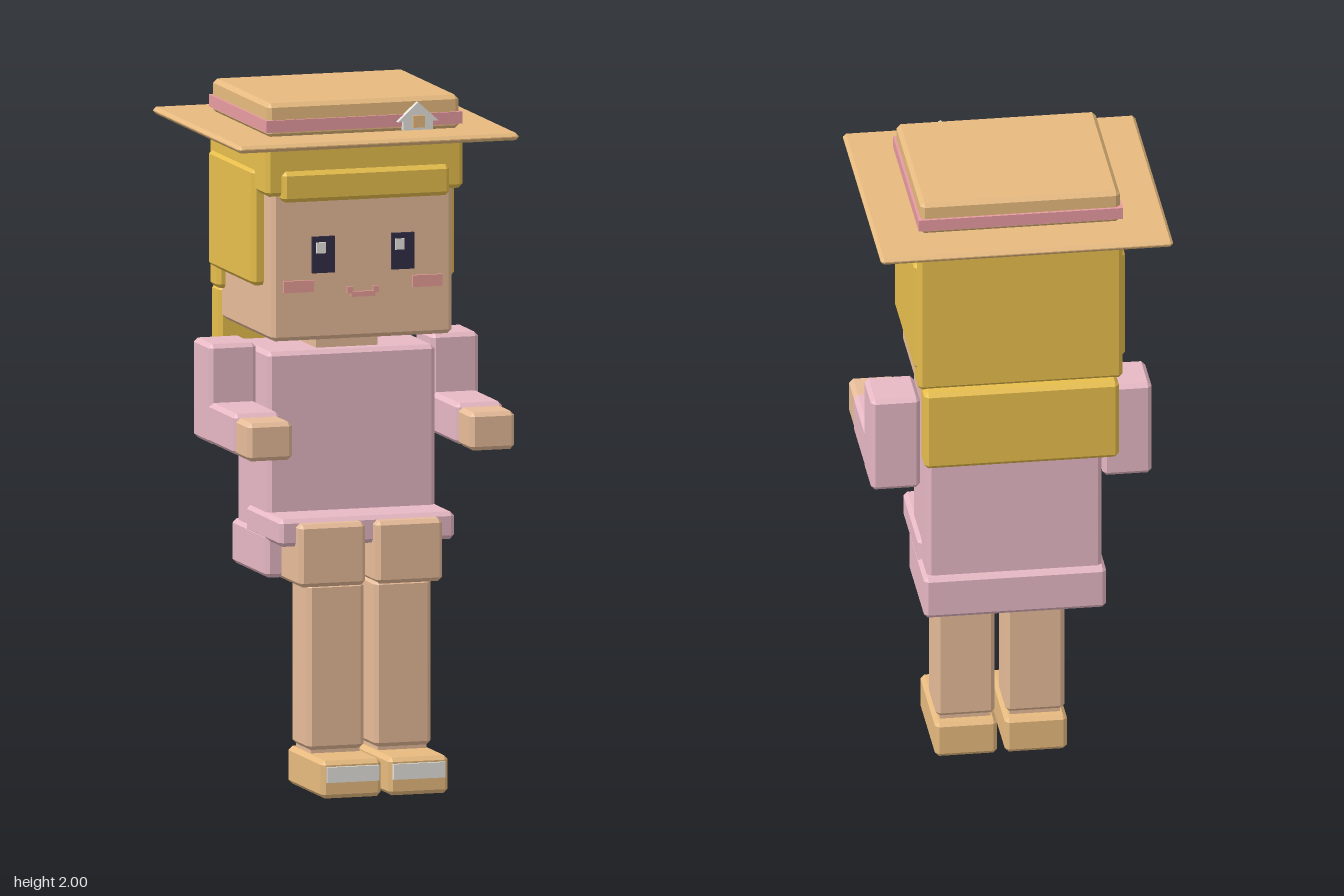
import * as THREE from 'three';
import { ConvexGeometry } from 'three/addons/geometries/ConvexGeometry.js';

const mat = (name, color) => {
  const m = new THREE.MeshStandardMaterial({ color });
  m.name = name;
  return m;
};

// Box with chamfered edges, centred on the origin
function chamferBox(w, h, d, b) {
  const pts = [];
  for (const x of [-1, 1]) for (const y of [-1, 1]) for (const z of [-1, 1]) {
    const X = w / 2, Y = h / 2, Z = d / 2;
    pts.push(new THREE.Vector3(x * X, y * (Y - b), z * (Z - b)));
    pts.push(new THREE.Vector3(x * (X - b), y * Y, z * (Z - b)));
    pts.push(new THREE.Vector3(x * (X - b), y * (Y - b), z * Z));
  }
  return new ConvexGeometry(pts);
}

export function createModel() {
  const skin = mat('skin', 0xf8caa5);
  const straw = mat('straw', 0xeec083);
  const hair = mat('hair', 0xf0c650);
  const dress = mat('dress pink', 0xf5c4d1);
  const ribbon = mat('ribbon pink', 0xf2a3a8);
  const blush = mat('blush', 0xf2a5a0);
  const ink = mat('eye dark', 0x322f45);
  const white = mat('white', 0xf5f2ec);

  const model = new THREE.Group();
  const body = new THREE.Group();
  body.position.x = -0.003;
  model.add(body);

  // Each block is given by its x, y and z ranges; bevel 0 makes a plain box
  function block(name, material, [x0, x1], [y0, y1], [z0, z1], bevel = 0.012) {
    const w = x1 - x0, h = y1 - y0, d = z1 - z0;
    const geo = bevel ? chamferBox(w, h, d, bevel) : new THREE.BoxGeometry(w, h, d);
    const mesh = new THREE.Mesh(geo, material);
    mesh.name = name;
    mesh.position.set((x0 + x1) / 2, (y0 + y1) / 2, (z0 + z1) / 2);
    body.add(mesh);
    return mesh;
  }
  // The same block on the left (+x) and the right
  function pair(name, material, [x0, x1], y, z, bevel) {
    block('left ' + name, material, [x0, x1], y, z, bevel);
    block('right ' + name, material, [-x1, -x0], y, z, bevel);
  }

  // Hat
  block('hatBrim', straw, [-0.425, 0.425], [1.882, 1.903], [-0.44, 0.373], 0.009);
  block('hatCrown', straw, [-0.29, 0.29], [1.9, 2], [-0.298, 0.226]);
  block('hatBand', ribbon, [-0.297, 0.297], [1.917, 1.952], [-0.306, 0.234], 0);

  // House-shaped badge on the band
  const house = new THREE.Shape([
    [-0.062, 1.932], [-0.045, 1.932], [-0.045, 1.907], [0.045, 1.907],
    [0.045, 1.932], [0.062, 1.932], [0, 1.988],
  ].map(([x, y]) => new THREE.Vector2(x, y)));
  const badge = new THREE.Mesh(
    new THREE.ExtrudeGeometry(house, { depth: 0.018, bevelEnabled: false }), white);
  badge.name = 'hatBadge';
  badge.position.set(0.158, 0, 0.23);
  body.add(badge);
  block('badgeDoor', straw, [0.14, 0.176], [1.915, 1.95], [0.248, 0.257], 0);

  // Head and neck
  block('head', skin, [-0.273, 0.273], [1.304, 1.87], [-0.27, 0.214]);
  block('neck', skin, [-0.093, 0.093], [1.24, 1.32], [-0.124, 0.066], 0);

  // Hair
  block('hairCap', hair, [-0.298, 0.298], [1.73, 1.884], [-0.299, 0.24]);
  block('fringe', hair, [-0.253, 0.253], [1.713, 1.803], [0.18, 0.256]);
  block('hairBack', hair, [-0.298, 0.298], [1.397, 1.884], [-0.3, -0.222]);
  pair('hairSide', hair, [0.25, 0.307], [1.457, 1.797], [-0.284, 0.135]);
  block('hairLower', hair, [-0.283, 0.283], [1.156, 1.4], [-0.33, -0.253]);

  // Face
  pair('eye', ink, [0.086, 0.154], [1.5, 1.606], [0.214, 0.2235], 0);
  for (const x of [-0.129, 0.109])
    block('eyeGlint', white, [x - 0.014, x + 0.014], [1.558, 1.59], [0.2235, 0.229], 0);
  pair('cheek', blush, [0.15, 0.24], [1.446, 1.48], [0.214, 0.2235], 0);
  block('mouth', blush, [-0.036, 0.036], [1.426, 1.441], [0.214, 0.2235], 0);
  pair('mouthCorner', blush, [0.03, 0.048], [1.436, 1.456], [0.214, 0.223], 0);

  // Dress
  block('torso', dress, [-0.254, 0.254], [0.68, 1.258], [-0.173, 0.114]);
  block('skirtFront', dress, [-0.265, 0.265], [0.712, 0.792], [-0.061, 0.262]);
  block('skirtBack', dress, [-0.265, 0.265], [0.603, 0.733], [-0.194, 0.13]);

  // Arms, bent forward
  pair('upperArm', dress, [0.265, 0.408], [0.987, 1.278], [-0.114, 0.045]);
  pair('forearm', dress, [0.266, 0.407], [0.988, 1.108], [-0.04, 0.274]);
  pair('hand', skin, [0.269, 0.404], [0.987, 1.098], [0.27, 0.397]);

  // Legs and shoes
  pair('thigh', skin, [0.016, 0.217], [0.597, 0.78], [-0.135, 0.3]);
  pair('shin', skin, [0.016, 0.187], [0.12, 0.605], [0.124, 0.284]);
  block('leftAnkle', skin, [0.028, 0.175], [0.1, 0.13], [0.135, 0.272], 0);
  block('rightAnkle', skin, [-0.175, -0.028], [0.1, 0.13], [0.135, 0.272], 0);
  pair('shoe', straw, [0.011, 0.192], [0, 0.11], [0.103, 0.43]);
  pair('shoeStrip', white, [0.022, 0.179], [0.048, 0.093], [0.428, 0.44], 0);

  return model;
}
